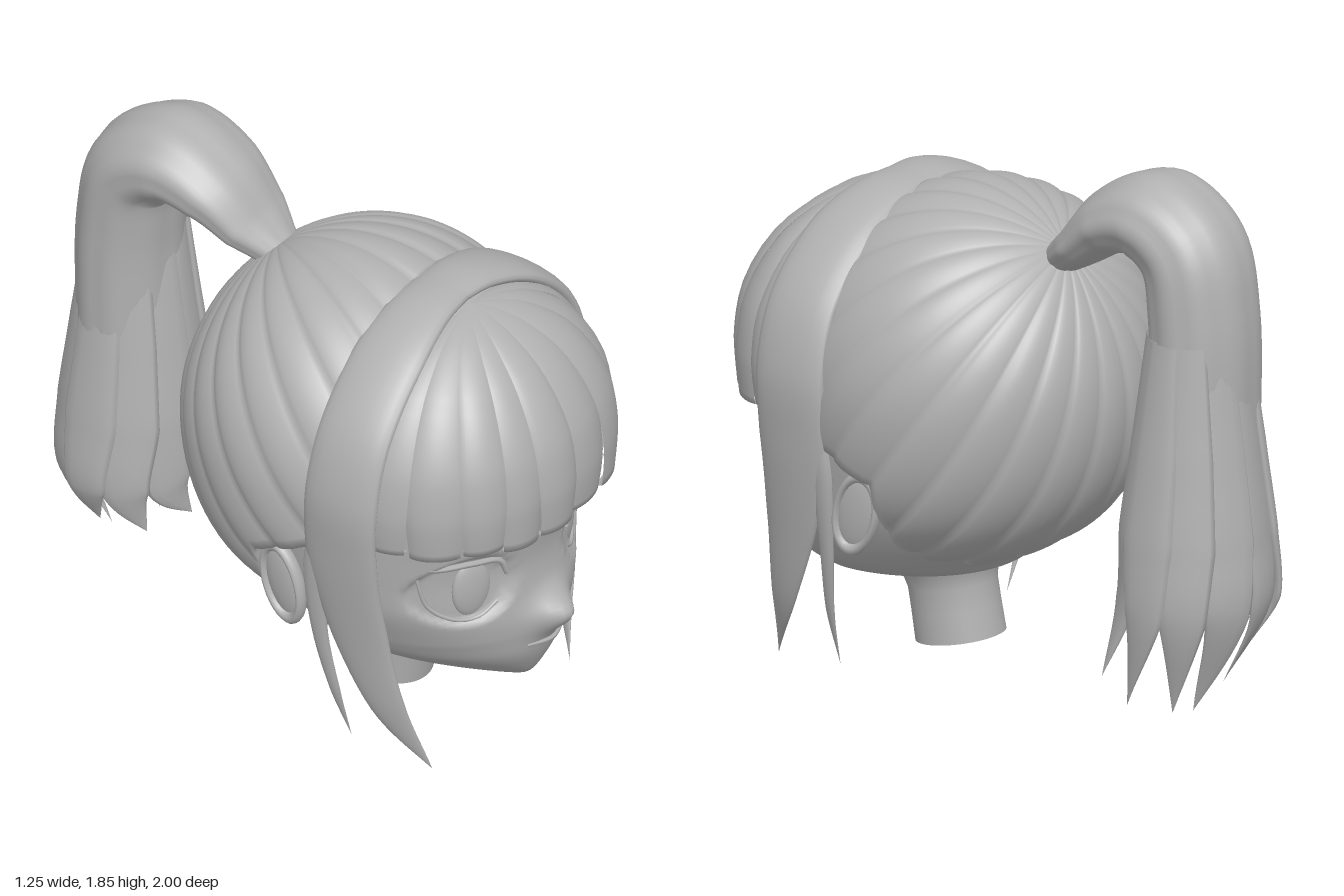
import * as THREE from 'three';

const V = (x, y, z) => new THREE.Vector3(x, y, z);
const { clamp, lerp, degToRad, smoothstep } = THREE.MathUtils;

// Smooth surface from a function f(u, v); closed joins the u ends
function grid(f, nu, nv, closed = false) {
  const pos = [], idx = [], cols = closed ? nu : nu + 1;
  for (let i = 0; i <= nv; i++)
    for (let j = 0; j < cols; j++) pos.push(...f(j / nu, i / nv, j).toArray());
  for (let i = 0; i < nv; i++)
    for (let j = 0; j < nu; j++) {
      const k = (j + 1) % cols, a = i * cols + j, b = i * cols + k, c = a + cols, d = b + cols;
      idx.push(a, b, d, a, d, c);
    }
  const g = new THREE.BufferGeometry();
  g.setAttribute('position', new THREE.Float32BufferAttribute(pos, 3));
  g.setIndex(idx);
  g.computeVertexNormals();
  return g;
}

// Value of a list at v in 0..1
function sample(list, v) {
  const s = v * (list.length - 1), i = Math.min(Math.floor(s), list.length - 2);
  return lerp(list[i], list[i + 1], s - i);
}

// Flattened tapering lock of hair; its thin side faces away from centre c
function lock(points, widths, depths, c, ridges = 0, nu = 16, nv = 32) {
  const path = new THREE.CatmullRomCurve3(points.map((p) => V(...p)));
  return grid((u, v) => {
    const p = path.getPoint(v), t = path.getTangent(v), out = p.clone().sub(c);
    out.y = Math.max(out.y, 0);
    out.addScaledVector(t, -out.dot(t)).normalize();
    const side = out.clone().cross(t), a = u * Math.PI * 2;
    const k = 1 + (ridges ? 0.035 * Math.abs(Math.sin(a * ridges / 2)) : 0);
    return p.addScaledVector(side, Math.cos(a) * sample(widths, v) * k)
      .addScaledVector(out, Math.sin(a) * sample(depths, v) * k);
  }, nu, nv, true);
}

// Head sections from chin to crown: y, half width, front z, middle z, back z
const sections = [
  [0.2, 0.005, 0.78, 0.77, 0.76], [0.23, 0.1, 0.815, 0.66, 0.5], [0.28, 0.22, 0.845, 0.55, 0.3],
  [0.34, 0.33, 0.87, 0.46, 0.07], [0.4, 0.4, 0.88, 0.4, -0.02], [0.5, 0.455, 0.885, 0.34, -0.15],
  [0.6, 0.495, 0.87, 0.3, -0.23], [0.7, 0.515, 0.86, 0.28, -0.29], [0.8, 0.53, 0.87, 0.26, -0.33],
  [0.9, 0.54, 0.89, 0.24, -0.36], [1.05, 0.55, 0.9, 0.22, -0.38], [1.2, 0.53, 0.85, 0.2, -0.34],
  [1.4, 0.4, 0.72, 0.2, -0.22], [1.52, 0.24, 0.5, 0.2, -0.05], [1.57, 0.005, 0.21, 0.2, 0.19],
];
const shape = new THREE.CatmullRomCurve3(sections.map((s) => V(s[0], s[1], 0)), false, 'catmullrom');
const depth = new THREE.CatmullRomCurve3(sections.map((s) => V(s[2], s[3], s[4])), false, 'catmullrom');

function headPoint(u, v) {
  const { x: y, y: w } = shape.getPoint(v), { x: zf, y: zc, z: zb } = depth.getPoint(v);
  const a = u * Math.PI * 2, x = w * Math.sin(a), cs = Math.cos(a);
  if (cs < 0) return V(x, y, zc + (zc - zb) * cs);
  const power = 1 + Math.max(0, 0.45 - y) * 2 - 0.2 * smoothstep(y, 0.4, 0.6);
  let z = zc + (zf - zc) * Math.pow(cs, power);
  // Nose and eye sockets
  z += 0.085 * Math.exp(-((x / 0.08) ** 2) - ((y - 0.5) / (y > 0.5 ? 0.06 : 0.075)) ** 2);
  const d = ((Math.abs(x) - 0.29) / 0.145) ** 2 + ((y - 0.675) / 0.125) ** 2;
  return V(x, y, z - 0.03 * clamp((1.15 - d) * 3, 0, 1));
}
const faceZ = (x) => 0.28 + 0.58 * Math.pow(1 - (x / 0.52) ** 2, 0.4);

// Swept-back hair: a ridged ellipsoid whose pole is the ponytail root
function capGeometry() {
  const strands = 23, per = 10, nu = strands * per;
  const pole = V(0, 0.79, -0.61).normalize(), e1 = V(1, 0, 0), e2 = pole.clone().cross(e1);
  const at = (u, th, lift) => {
    const a = u * Math.PI * 2;
    const p = pole.clone().multiplyScalar(Math.cos(th))
      .addScaledVector(e1, Math.sin(th) * Math.cos(a)).addScaledVector(e2, Math.sin(th) * Math.sin(a));
    p.multiply(V(0.612, 0.62, 0.59)).multiplyScalar(lift);
    if (p.y < 0) p.x *= 1 + 0.2 * (p.y / 0.62) ** 2;
    return p.add(V(0, 1, 0.17));
  };
  // Each strand runs until it meets the band, the ear or the nape
  const ends = [];
  for (let j = 0; j < nu; j++) {
    let th = 0.1;
    const jag = 0.08 * Math.abs((j % per) / per - 0.5);
    for (; th < 2.8; th += 0.005) {
      const p = at(j / nu, th, 1);
      if (p.z > clamp(0.38 - (0.86 - p.y) * 2.5, 0.14, 0.38) || p.y < 0.415 + jag) break;
    }
    ends.push(th);
  }
  const rows = 32;
  return grid((u, v, j) => {
    const s = (j % per) / per, th = ends[j] * Math.min(1, v * rows / (rows - 1));
    const ridge = 0.026 * Math.pow(Math.sin(Math.PI * s), 0.6) * (1 - 0.5 * s) * Math.min(1, th * 1.2);
    return at(u, th, v === 1 ? 0.93 : 1 + ridge);
  }, nu, rows, true);
}

// One piece of the fringe between two angles, with a turned-in lower edge
function fringeGeometry(a0, a1, bottom, lift) {
  const ys = [1.555, 1.535, 1.49, 1.38, 1.2, 1.05, 0.97, bottom];
  const rs = [0, 0.18, 0.4, 0.7, 0.94, 1, 0.995, 0.975];
  const prof = new THREE.CatmullRomCurve3(ys.map((y, i) => V(rs[i], y, 0)));
  const rows = 24;
  return grid((u, v) => {
    const k = Math.min(1, v * rows / (rows - 1)), p = prof.getPoint(k);
    const taper = 1 - 0.16 * Math.max(0, k - 0.6) / 0.4;
    const a = (a0 + a1) / 2 + (a1 - a0) * (u - 0.5) * taper;
    const bulge = (0.04 * Math.pow(Math.sin(Math.PI * u), 0.7) + lift) * Math.min(1, p.x * 1.3);
    const r = Math.max(0, p.x * 0.965 + bulge - (v === 1 ? 0.07 : 0));
    return V(0.548 * Math.pow(r, 0.78) * Math.sin(a), p.y, 0.57 + 0.42 * r * Math.cos(a));
  }, 12, rows);
}

export function createModel() {
  const root = new THREE.Group();
  root.name = 'ponytailHead';
  const grey = new THREE.MeshStandardMaterial({ color: 0xb0b0b0, side: THREE.DoubleSide });
  grey.name = 'plain grey';
  const add = (name, geo, parent = root) => {
    const m = new THREE.Mesh(geo, grey);
    m.name = name;
    parent.add(m);
    return m;
  };
  const tube = (name, pts, r) => add(name, new THREE.TubeGeometry(
    new THREE.CatmullRomCurve3(pts.map((p) => V(...p))), 24, r, 6));

  // Head and open-ended neck
  add('head', grid(headPoint, 112, 112, true));
  const neck = add('neck', new THREE.LatheGeometry([[0.152, 0], [0.15, 0.1], [0.15, 0.18], [0.165, 0.24],
    [0.21, 0.3], [0.28, 0.35]].map((p) => new THREE.Vector2(...p)), 40));
  neck.position.set(0, 0.06, 0.245);
  neck.rotation.x = 0.19;
  neck.scale.x = 0.94;
  tube('mouth', [[-0.1, 0.392, 0.862], [0, 0.385, 0.894], [0.1, 0.392, 0.862]], 0.008);

  for (const s of [1, -1]) {
    const side = s > 0 ? 'left' : 'right';
    // Eye, lids and brow
    const eye = add(side + 'Eye', new THREE.SphereGeometry(1, 32, 20));
    eye.scale.set(0.07, 0.107, 0.025);
    eye.position.set(s * 0.262, 0.67, 0.758);
    eye.rotation.y = s * 0.42;
    const onFace = (list, off) => list.map(([x, y]) => [s * x, y, faceZ(x) + off]);
    tube(side + 'UpperLid', onFace([[0.16, 0.7], [0.19, 0.76], [0.28, 0.778], [0.38, 0.778], [0.45, 0.8]], -0.008), 0.011);
    tube(side + 'LowerLid', onFace([[0.19, 0.6], [0.25, 0.562], [0.32, 0.567], [0.39, 0.63], [0.415, 0.75]], -0.018), 0.007);
    tube(side + 'Brow', onFace([[0.14, 0.815], [0.24, 0.855], [0.36, 0.865]], 0.008), 0.006);

    // Ear
    const ear = new THREE.Group();
    ear.name = side + 'Ear';
    ear.position.set(s * 0.545, 0.645, 0.225);
    ear.rotation.set(-0.25, s * 0.12, 0);
    root.add(ear);
    add('earBowl', new THREE.SphereGeometry(1, 24, 16), ear).scale.set(0.026, 0.14, 0.075);
    const rim = add('earRim', new THREE.TorusGeometry(0.072, 0.012, 10, 32), ear);
    rim.rotation.y = Math.PI / 2;
    rim.scale.set(1, 1.85, 2);
    rim.position.x = s * 0.008;

    // Band over the crown running into the long side lock, and a thin lock behind it
    add(side + 'SideLock', lock([[s * 0.38, 0, 0.69], [s * 0.48, 0.25, 0.59], [s * 0.535, 0.55, 0.51],
      [s * 0.575, 0.85, 0.47], [s * 0.582, 1.08, 0.475], [s * 0.51, 1.3, 0.48], [s * 0.32, 1.485, 0.475],
      [s * 0.13, 1.562, 0.465], [s * -0.03, 1.575, 0.46]],
    [0, 0.06, 0.11, 0.14, 0.14, 0.135, 0.13, 0.11, 0.1],
    [0, 0.02, 0.03, 0.035, 0.04, 0.04, 0.04, 0.04, 0.035], V(0, 1, 0.47), 0, 20, 54));
    add(side + 'ThinLock', lock([[s * 0.57, 1.0, 0.4], [s * 0.565, 0.75, 0.36], [s * 0.54, 0.5, 0.36],
      [s * 0.49, 0.25, 0.385], [s * 0.42, 0.04, 0.4]], [0.04, 0.045, 0.03, 0.018, 0],
    [0.02, 0.02, 0.015, 0.01, 0], V(0, 1, 0.3), 0, 10));
  }

  // Swept-back hair and fringe
  add('sweptBackHair', capGeometry());
  const edges = [-102, -74, -50, -33, -17, 0, 22, 46, 73, 102].map(degToRad);
  for (let i = 0; i < edges.length - 1; i++)
    add('fringe' + (i + 1), fringeGeometry(edges[i] - 0.02, edges[i + 1] + 0.02,
      i === 0 || i === 8 ? 0.9 : 0.875 + 0.012 * (i % 3), i % 2 ? 0 : 0.018));

  // Ponytail arch
  add('ponytail', lock([[0, 1.44, -0.15], [0, 1.54, -0.28], [-0.01, 1.65, -0.41], [-0.015, 1.695, -0.57],
    [-0.015, 1.61, -0.71], [-0.01, 1.4, -0.76], [0, 1.0, -0.765], [0.01, 0.72, -0.76], [0.02, 0.45, -0.76]],
  [0.06, 0.145, 0.185, 0.2, 0.195, 0.195, 0.2, 0.19, 0.08],
  [0.05, 0.075, 0.11, 0.147, 0.158, 0.163, 0.165, 0.15, 0.06], V(0, 1.2, -0.45), 9, 54, 64));

  // Pointed strands around the ponytail's end, listed by their tips
  const tips = [[0.29, 0.2, -0.58], [0.26, 0.11, -0.66], [0.2, 0.1, -0.8], [0.12, 0.09, -0.82],
    [-0.02, 0.15, -0.83], [-0.13, 0.27, -0.86], [-0.2, 0.3, -0.75], [-0.15, 0.28, -0.6],
    [0, 0.3, -0.53], [0.14, 0.24, -0.49]];
  tips.forEach((tip, i) => {
    const a = degToRad(40 - 36 * i);
    const at = (rx, y, rz) => [0.02 + rx * Math.cos(a), y, -0.76 + rz * Math.sin(a)];
    add('ponytailStrand' + (i + 1), lock([at(0.16, 1.35, 0.13), at(0.2, 0.98, 0.165), at(0.24, 0.68, 0.2),
      at(0.265, 0.44, 0.215), tip], [0.06, 0.09, 0.105, 0.08, 0],
    [0.02, 0.03, 0.03, 0.02, 0], V(0.02, 2, -0.76), 0, 12));
  });
  return root;
}
